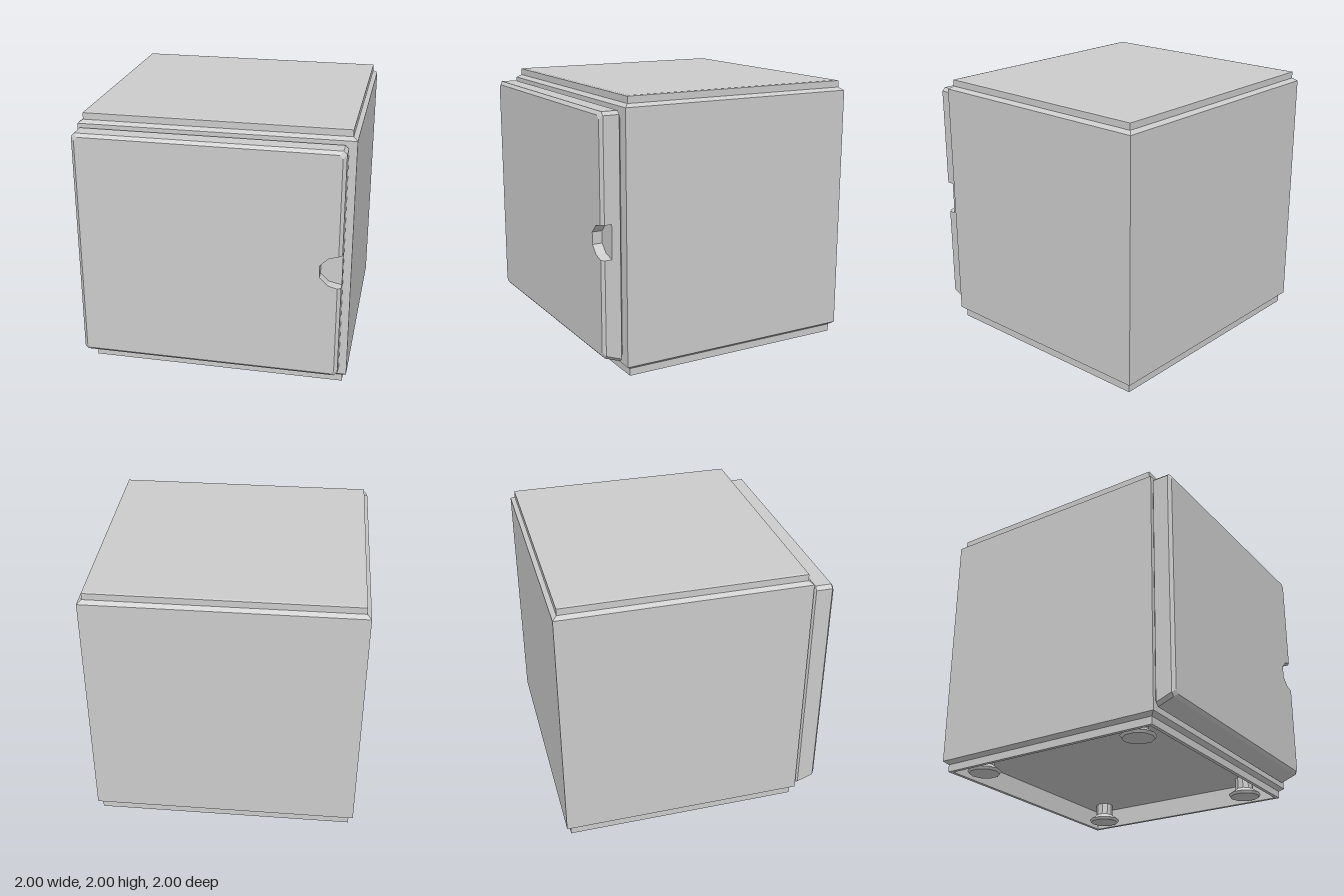
import * as THREE from 'three';

const material = new THREE.MeshStandardMaterial({ color: 0xcccccc });

// Skin matching counter-clockwise outlines, each { h, pts }, stacked along z; optional end caps.
function loft(layers, capStart = true, capEnd = true) {
  const n = layers[0].pts.length;
  const pos = [], idx = [];
  for (const { h, pts } of layers) for (const [x, y] of pts) pos.push(x, y, h);
  for (let k = 0; k < layers.length - 1; k++) {
    for (let i = 0; i < n; i++) {
      const a = k * n + i, b = k * n + (i + 1) % n;
      idx.push(a, b, b + n, a, b + n, a + n);
    }
  }
  const cap = (k, flip) => {
    const contour = layers[k].pts.map(([x, y]) => new THREE.Vector2(x, y));
    for (const [a, b, c] of THREE.ShapeUtils.triangulateShape(contour, [])) {
      idx.push(k * n + a, k * n + (flip ? c : b), k * n + (flip ? b : c));
    }
  };
  if (capStart) cap(0, true);
  if (capEnd) cap(layers.length - 1, false);
  const g = new THREE.BufferGeometry();
  g.setAttribute('position', new THREE.Float32BufferAttribute(pos, 3));
  g.setIndex(idx);
  const flat = g.toNonIndexed();
  flat.computeVertexNormals();
  return flat;
}

function addMesh(parent, name, geometry) {
  const mesh = new THREE.Mesh(geometry, material);
  mesh.name = name;
  parent.add(mesh);
  return mesh;
}

// Cabinet: footprint x -1..1, z -1..0.84, drawn as rectangles with an inset
function cabinetLayer(h, inset) {
  const x = 1 - inset, front = -0.84 + inset, back = 1 - inset;
  return { h, pts: [[-x, front], [x, front], [x, back], [-x, back]] };
}

// Door outline with clipped corners; the notch for the fingers is optional
function doorLayer(h, inset, bottom, notch) {
  const l = -1 + inset, r = 0.945 - inset, t = 1.9 - inset, c = 0.025;
  const pts = [[l + c, bottom], [r - c, bottom], [r, bottom + c]];
  if (notch) pts.push([r, 0.875], [0.85, 0.895], [0.79, 0.955], [0.79, 1.045], [0.85, 1.105], [r, 1.125]);
  pts.push([r, t - c], [r - c, t], [l + c, t], [l, t - c], [l, bottom + c]);
  return { h, pts };
}

export function createModel() {
  const group = new THREE.Group();
  group.name = 'smallRefrigerator';

  // Cabinet from the recessed underside, around the skirt, up to the lid
  const cabinet = addMesh(group, 'cabinet', loft([
    cabinetLayer(0.15, 0.06),
    cabinetLayer(0, 0.06),
    cabinetLayer(0, 0.032),
    cabinetLayer(0.055, 0.032),
    cabinetLayer(0.08, 0),
    cabinetLayer(1.925, 0),
    cabinetLayer(1.947, 0.032),
    cabinetLayer(1.996, 0.032),
    cabinetLayer(2, 0.05),
  ]));
  cabinet.rotation.x = -Math.PI / 2;

  // Door: solid back half, front half with the finger notch and sloping lower edge
  const door = new THREE.Group();
  door.name = 'door';
  group.add(door);
  addMesh(door, 'doorBack', loft([
    doorLayer(0.84, 0.03, 0.13, false),
    doorLayer(0.86, 0, 0.105, false),
    doorLayer(0.925, 0, 0.129, false),
  ]));
  addMesh(door, 'doorFront', loft([
    doorLayer(0.925, 0, 0.129, true),
    doorLayer(0.98, 0, 0.15, true),
    doorLayer(1, 0.025, 0.172, true),
  ], false, true));

  // Four levelling feet with flared pads
  const profile = [[0, 0], [0.115, 0], [0.128, 0.02], [0.07, 0.06], [0.07, 0.15]]
    .map(([r, y]) => new THREE.Vector2(r, y));
  const footGeometry = new THREE.LatheGeometry(profile, 10).toNonIndexed();
  footGeometry.computeVertexNormals();
  for (const x of [-0.79, 0.79]) {
    for (const z of [-0.77, 0.59]) {
      addMesh(group, 'foot', footGeometry).position.set(x, 0, z);
    }
  }
  return group;
}
